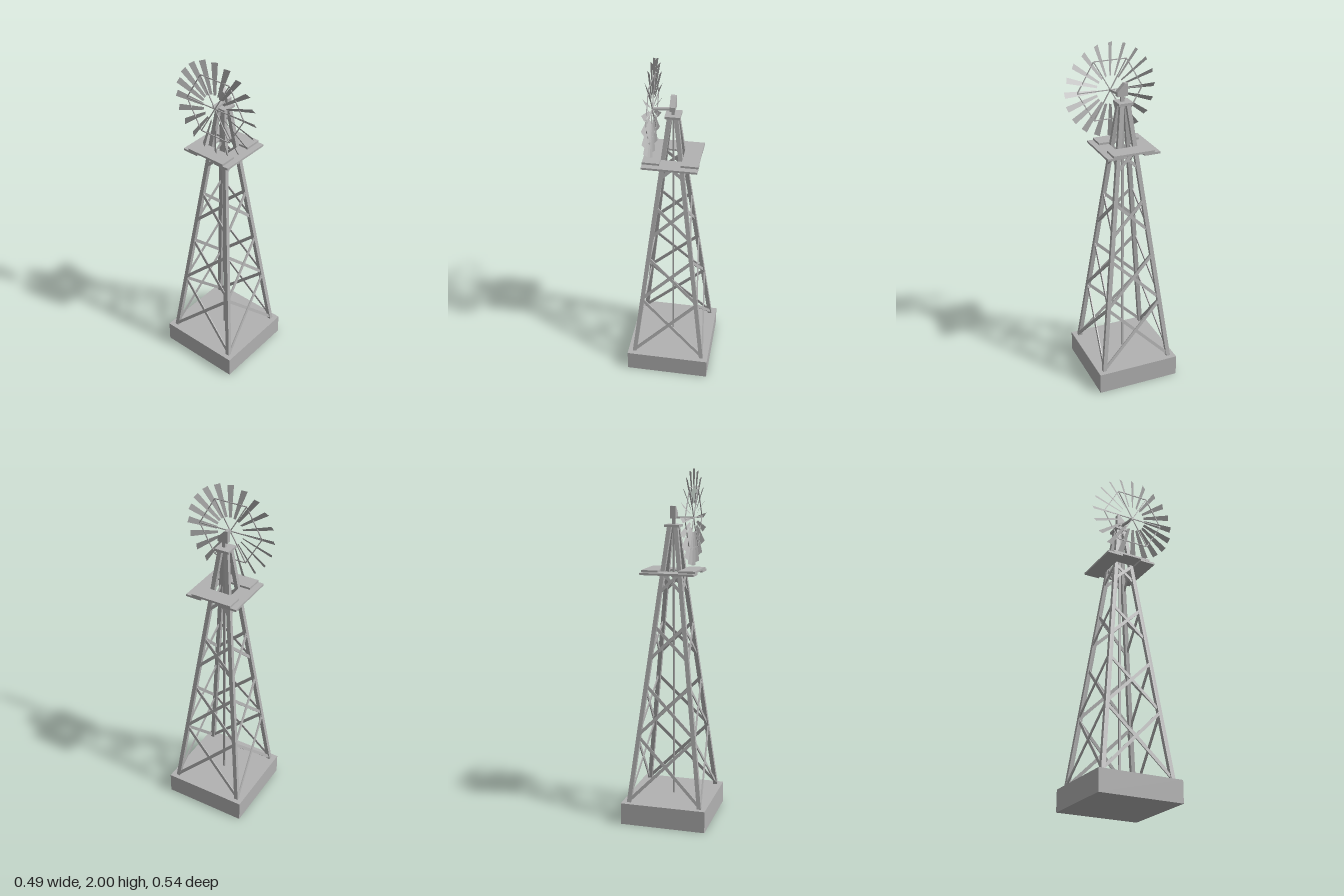
import * as THREE from 'three';

const CZ = -0.027; // tower axis in z
const BASE_TOP = 0.125, CAP_Y = 1.69;

// Distance of a leg's centre from the tower axis at height y
const legOffset = (y) => 0.207 + (0.018 - 0.207) * (y - BASE_TOP) / (CAP_Y - BASE_TOP);

export function createModel() {
  const model = new THREE.Group();
  model.name = 'windPump';
  const grey = new THREE.MeshStandardMaterial({ color: 0xb2b2b2 });
  grey.name = 'galvanised grey';
  const bladeGrey = grey.clone();
  bladeGrey.name = 'blade grey';
  bladeGrey.side = THREE.DoubleSide;

  const add = (parent, name, geometry, material = grey) => {
    const mesh = new THREE.Mesh(geometry, material);
    mesh.name = name;
    parent.add(mesh);
    return mesh;
  };
  const box = (parent, name, w, h, d, x, y, z) =>
    add(parent, name, new THREE.BoxGeometry(w, h, d).translate(x, y, z));

  // Straight bar from a to b, its thin side facing along hint
  const bar = (parent, name, a, b, width, thick, hint) => {
    const dir = b.clone().sub(a);
    const len = dir.length();
    dir.normalize();
    const side = new THREE.Vector3().crossVectors(dir, hint).normalize();
    const normal = new THREE.Vector3().crossVectors(side, dir);
    const m = new THREE.Matrix4().makeBasis(side, dir, normal.clone());
    m.setPosition(a.clone().add(b).multiplyScalar(0.5));
    return add(parent, name, new THREE.BoxGeometry(width, len, thick).applyMatrix4(m));
  };
  const V = (x, y, z) => new THREE.Vector3(x, y, z);

  const tower = new THREE.Group();
  tower.name = 'tower';
  tower.position.z = CZ;
  model.add(tower);

  box(tower, 'foundation', 0.492, BASE_TOP, 0.494, 0, BASE_TOP / 2, 0);
  box(tower, 'pumpRod', 0.009, 1.61, 0.014, 0, BASE_TOP + 0.805, 0.004);
  box(tower, 'capPlate', 0.084, 0.014, 0.084, 0, 1.692, 0);

  // Four legs: square bars sheared toward the axis
  for (const sx of [-1, 1]) for (const sz of [-1, 1]) {
    const leg = new THREE.BoxGeometry(0.024, CAP_Y - BASE_TOP, 0.024);
    leg.translate(0, (CAP_Y + BASE_TOP) / 2, 0);
    const p = leg.attributes.position;
    for (let i = 0; i < p.count; i++) {
      const o = legOffset(p.getY(i));
      p.setX(i, p.getX(i) + sx * o);
      p.setZ(i, p.getZ(i) + sz * o);
    }
    leg.computeVertexNormals();
    add(tower, 'leg', leg);
  }

  // Crossed braces on each of the four sides
  const levels = [[0.135, 0.505], [0.52, 0.8], [0.95, 1.135], [1.325, 1.43]];
  for (let s = 0; s < 4; s++) {
    const side = new THREE.Group();
    side.name = 'bracedSide';
    side.rotation.y = s * Math.PI / 2;
    tower.add(side);
    for (const [y0, y1] of levels) for (const d of [-1, 1]) {
      const o0 = legOffset(y0), o1 = legOffset(y1);
      const shift = 0.005 + d * 0.003;
      bar(side, 'crossBrace', V(-d * o0, y0, o0 + shift), V(d * o1, y1, o1 + shift),
        0.018, 0.006, V(0, 0.12, 1));
    }
  }

  // Platform: two lower planks with two upper planks laid across them
  for (const s of [-1, 1]) {
    box(tower, 'lowerPlank', 0.306, 0.012, 0.094, 0, 1.435, s * 0.107);
    box(tower, 'upperPlank', 0.095, 0.012, 0.24, s * 0.106, 1.447, 0);
  }

  // Gearbox with sloping front, extruded across x
  const profile = new THREE.Shape();
  profile.moveTo(-0.013, 1.73);
  profile.lineTo(0.047, 1.73);
  profile.lineTo(0.047, 1.8);
  profile.lineTo(0.03, 1.8);
  profile.lineTo(-0.013, 1.755);
  const housing = new THREE.ExtrudeGeometry(profile, { depth: 0.03, bevelEnabled: false });
  housing.translate(0, 0, -0.015).rotateY(Math.PI / 2);
  add(model, 'gearbox', housing);
  box(model, 'gearboxPost', 0.016, 0.034, 0.018, 0, 1.715, -0.02);

  // Wheel, turning in the plane facing -x
  const hub = V(-0.107, 1.735, 0.005);
  bar(model, 'wheelShaft', hub, V(-0.005, 1.735, -0.012), 0.013, 0.012, V(0, 1, 0));
  const wheel = new THREE.Group();
  wheel.name = 'wheel';
  wheel.position.copy(hub);
  model.add(wheel);

  // Tapered blade, pitched about its own length
  const outline = new THREE.Shape([
    new THREE.Vector2(-0.007, 0.08), new THREE.Vector2(0.007, 0.08),
    new THREE.Vector2(0.017, 0.265), new THREE.Vector2(-0.017, 0.265)]);
  const blade = new THREE.ShapeGeometry(outline);
  blade.rotateY(Math.PI / 2 + 32 * Math.PI / 180);
  for (let i = 0; i < 20; i++) {
    add(wheel, 'blade', blade, bladeGrey).rotation.x = i * Math.PI / 10;
  }

  // Six spokes and the hexagonal rim wire that ties the blades
  const rim = (i) => V(0, Math.sin(i * Math.PI / 3) * 0.192, Math.cos(i * Math.PI / 3) * 0.192);
  for (let i = 0; i < 6; i++) {
    bar(wheel, 'spoke', V(0, 0, 0), rim(i), 0.005, 0.005, V(1, 0, 0));
    bar(wheel, 'rimWire', rim(i), rim(i + 1), 0.005, 0.005, V(1, 0, 0));
  }
  return model;
}
